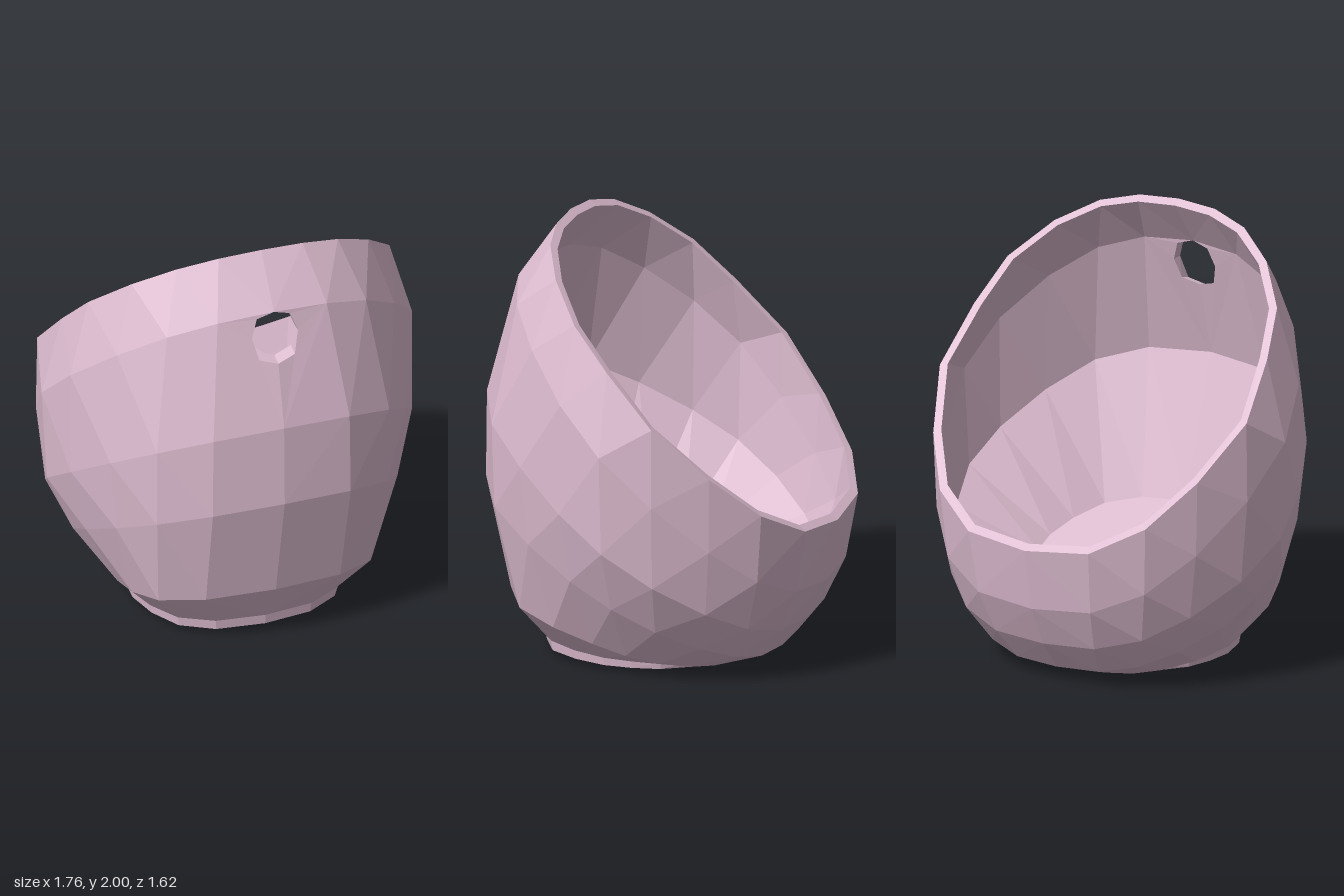
import * as THREE from 'three';

const N = 20;
// Half footprint, from the front (+z) round the +x side to the back
const FX = [0, 0.32, 0.55, 0.71, 0.83, 0.88, 0.83, 0.71, 0.55, 0.32, 0];
const FZ = [0.81, 0.775, 0.66, 0.46, 0.225, 0, -0.235, -0.47, -0.66, -0.78, -0.81];

// Tilted planar ring: heights at front and back, footprint scale at front (depth, width),
// side and back, and the easing of the scale towards front width and back
function ring(yF, yB, sF, sFx, sS, sB, pF = 1, pB = 1.3) {
  const zF = FZ[0] * sF, zB = FZ[10] * sB;
  return Array.from({ length: N }, (_, j) => {
    const k = j <= 10 ? j : N - j;
    const c = Math.abs(FZ[k]) / 0.81;
    const back = sS + (sB - sS) * c ** pB;
    const x = FX[k] * (k < 5 ? sS + (sFx - sS) * c ** pF : back) * (j <= 10 ? 1 : -1);
    const z = FZ[k] * (k < 5 ? sS + (sF - sS) * c : back);
    return new THREE.Vector3(x, yB + (yF - yB) * (z - zB) / (zF - zB), z);
  });
}

// Quad split along the diagonal that keeps it bulging outwards
function quad(out, a, b, c, d) {
  const n = b.clone().sub(a).cross(c.clone().sub(a));
  if (n.dot(d.clone().sub(a)) <= 0) out.push(a, b, c, a, c, d);
  else out.push(a, b, d, b, c, d);
}

// Joins two rings with outward-facing quads, skipping columns where asked
function band(out, lower, upper, skip = () => false) {
  for (let j = 0; j < N; j++) {
    const k = (j + 1) % N;
    if (!skip(j)) quad(out, lower[j], lower[k], upper[k], upper[j]);
  }
}

// Closes a ring with a fan, facing up or down
function cap(out, loop, up) {
  const mid = loop.reduce((m, p) => m.add(p), new THREE.Vector3()).divideScalar(N);
  loop.forEach((p, j) => {
    const q = loop[(j + 1) % N];
    if (up) out.push(mid, p, q); else out.push(mid, q, p);
  });
}

const mirror = (p) => new THREE.Vector3(-p.x, p.y, p.z);

const flip = (tris) => {
  for (let i = 0; i < tris.length; i += 3) [tris[i + 1], tris[i + 2]] = [tris[i + 2], tris[i + 1]];
  return tris;
};

// Right half of the octagonal hole, top to bottom
const HOLE = [[0, 1.77], [0.08, 1.745], [0.11, 1.66], [0.085, 1.555], [0, 1.53]];

// Hole outline laid on the front facet of a wall, its lower part raised by a lift
function holeEdge(lower, upper, lift) {
  const plane = new THREE.Plane().setFromCoplanarPoints(lower[0], lower[1], upper[0]);
  const n = plane.normal;
  return HOLE.map(([x, h], i) => {
    if (i === 0) return upper[0].clone();
    const y = i > 2 ? h + lift : h;
    return new THREE.Vector3(x, y, -(plane.constant + n.x * x + n.y * y) / n.z);
  });
}

// The two front facets around the hole
function pierced(out, lower, upper, edge) {
  const pts = [upper[1], lower[1], lower[0], ...[...edge].reverse()];
  const flat = pts.map((p) => new THREE.Vector2(p.x, p.y));
  for (const face of THREE.ShapeUtils.triangulateShape(flat, [])) {
    let [a, b, c] = face.map((i) => pts[i]);
    const area = (b.x - a.x) * (c.y - a.y) - (c.x - a.x) * (b.y - a.y);
    if (area < 0) [b, c] = [c, b];
    out.push(a, b, c, mirror(a), mirror(c), mirror(b));
  }
}

export function createModel() {
  const group = new THREE.Group();
  const clay = new THREE.MeshStandardMaterial({ color: 0xdebdd1, flatShading: true, side: THREE.DoubleSide });
  clay.name = 'dusty pink';

  const add = (name, tris) => {
    const geo = new THREE.BufferGeometry().setFromPoints(tris);
    geo.computeVertexNormals();
    const mesh = new THREE.Mesh(geo, clay);
    mesh.name = name;
    group.add(mesh);
  };

  // Outer rings from the base to the slanted rim
  const outer = [
    ring(0.30, 0.0, 0.85, 1.03, 0.63, 0.43, 1.5),
    ring(0.83, 0.06, 1.0, 1.04, 0.83, 0.67),
    ring(1.23, 0.20, 0.99, 1.02, 0.97, 0.81, 1, 1.5),
    ring(1.77, 0.39, 0.815, 0.8, 1.0, 0.93, 2, 2),
    ring(2.0, 0.68, 0.605, 0.605, 0.89, 1.0, 2, 0.1),
  ];
  // Inner rings from the raised, sloping floor to the rim
  const inner = [
    ring(0.55, 0.30, 0.68, 0.68, 0.5, 0.4),
    ring(1.2, 0.35, 0.94, 0.97, 0.92, 0.78, 1, 1.5),
    ring(1.77, 0.50, 0.75, 0.75, 0.95, 0.88, 2, 2),
    ring(1.975, 0.705, 0.565, 0.57, 0.845, 0.957, 2, 0.1),
  ];
  const atHole = (j) => j === 0 || j === N - 1;

  // Outer wall
  const shell = [];
  for (let i = 0; i < 4; i++) band(shell, outer[i], outer[i + 1], i === 2 ? atHole : undefined);
  const outEdge = holeEdge(outer[2], outer[3], 0);
  pierced(shell, outer[2], outer[3], outEdge);
  add('outerWall', shell);

  // Inner wall and floor
  const lining = [];
  for (let i = 0; i < 3; i++) band(lining, inner[i], inner[i + 1], i === 1 ? atHole : undefined);
  const inEdge = holeEdge(inner[1], inner[2], 0.015);
  pierced(lining, inner[1], inner[2], inEdge);
  add('innerWall', flip(lining));
  const floor = [];
  cap(floor, inner[0], true);
  add('floor', floor);

  // Slanted rim
  const rim = [];
  band(rim, outer[4], inner[3]);
  add('rim', rim);

  // Sides of the hanging hole
  const sides = [];
  for (let i = 0; i < 4; i++) {
    const [a, b, c, d] = [outEdge[i], inEdge[i], inEdge[i + 1], outEdge[i + 1]];
    quad(sides, a, b, c, d);
    quad(sides, mirror(d), mirror(c), mirror(b), mirror(a));
  }
  add('hangingHole', sides);

  // Underside and shallow foot
  const footTop = ring(0.08, 0.04, 0.68, 0.72, 0.55, 0.44, 1, 2);
  const footBottom = ring(0.03, 0.02, 0.67, 0.71, 0.545, 0.42, 1, 2);
  const under = [];
  band(under, footTop, outer[0]);
  add('underside', under);
  const foot = [];
  band(foot, footBottom, footTop);
  cap(foot, footBottom, false);
  add('foot', foot);

  return group;
}
